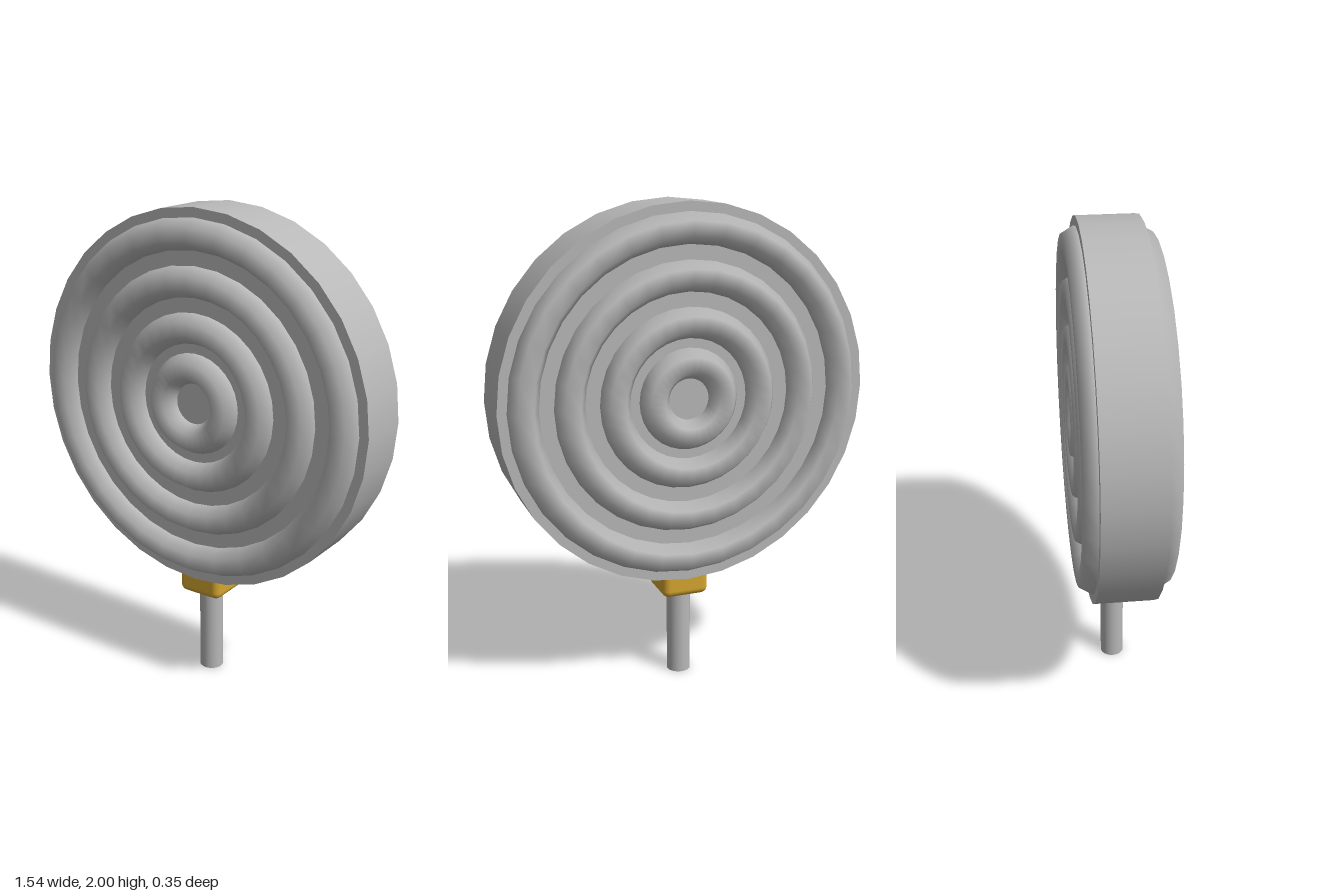
import * as THREE from 'three';
import { RoundedBoxGeometry } from 'three/addons/geometries/RoundedBoxGeometry.js';

export function createModel() {
  const model = new THREE.Group();
  const steel = new THREE.MeshStandardMaterial({ color: 0xb8b8b8 });
  steel.name = 'grey metal';
  const gold = new THREE.MeshStandardMaterial({ color: 0xd4a52f });
  gold.name = 'gold';

  const add = (name, geometry, material, y, z = 0) => {
    const mesh = new THREE.Mesh(geometry, material);
    mesh.name = name;
    mesh.position.set(0, y, z);
    model.add(mesh);
  };

  const centreY = 1.23, discRadius = 0.77, halfDepth = 0.122;

  // Upright round disc
  const disc = new THREE.CylinderGeometry(discRadius, discRadius, halfDepth * 2, 32);
  disc.rotateX(Math.PI / 2);
  add('disc', disc, steel, centreY);

  // Concentric raised rings, half sunk into both faces
  for (const radius of [0.145, 0.306, 0.488, 0.67]) {
    const ring = new THREE.TorusGeometry(radius, 0.0616, 6, 32);
    add('frontRing', ring, steel, centreY, halfDepth);
    add('backRing', ring, steel, centreY, -halfDepth);
  }

  // Rounded collar and stem below the disc
  add('collar', new RoundedBoxGeometry(0.2, 0.2, 0.2, 3, 0.03), gold, 0.47);
  add('stem', new THREE.CylinderGeometry(0.05, 0.05, 0.5, 24), steel, 0.25);

  return model;
}
